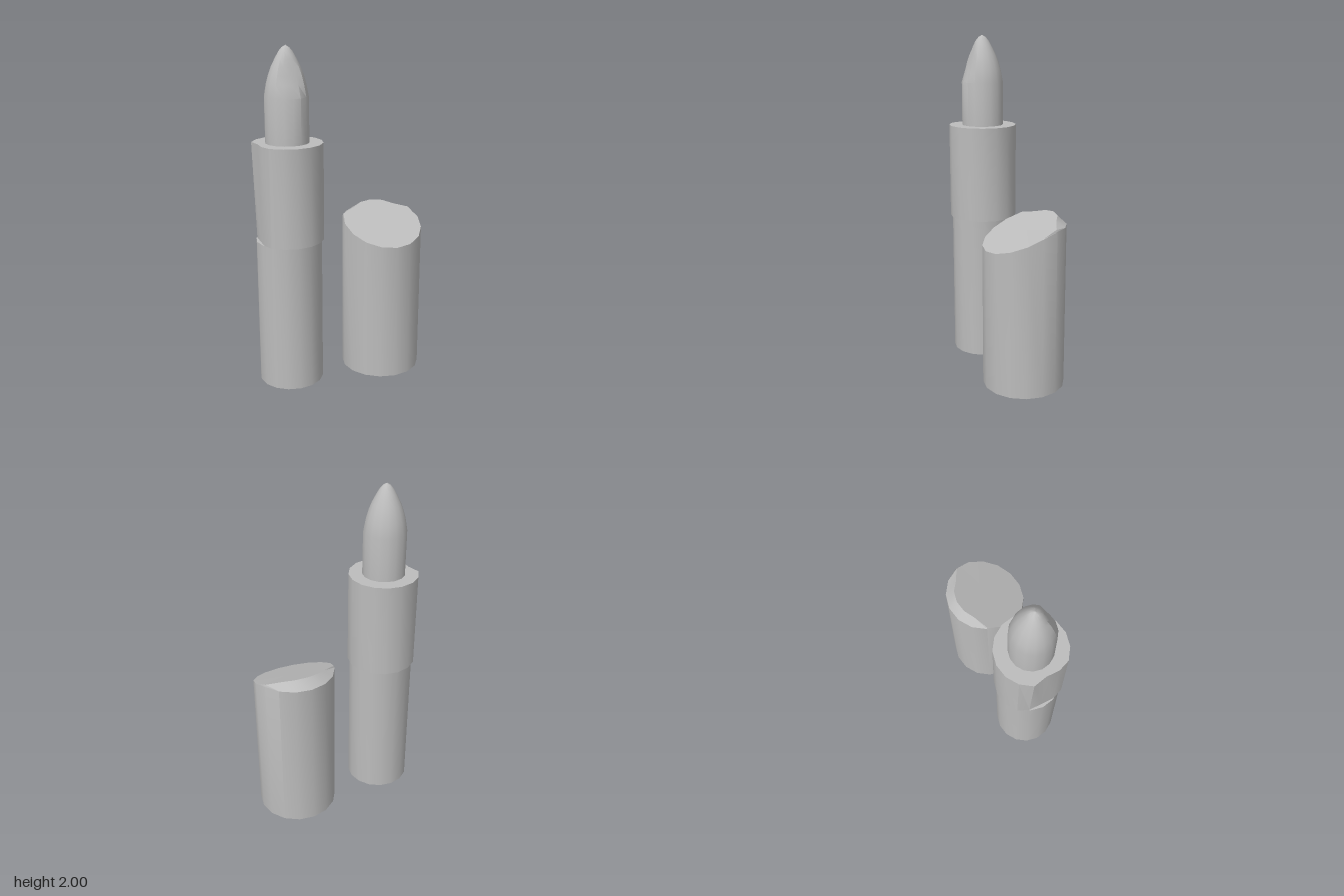
import * as THREE from 'three';
import { toCreasedNormals } from 'three/addons/utils/BufferGeometryUtils.js';

const SIDES = 16;
const STICK_X = -0.32;
const CAP_X = 0.27;

// Move every vertex of a geometry by a rule
function reshape(geometry, rule) {
  const p = geometry.attributes.position;
  const v = new THREE.Vector3();
  for (let i = 0; i < p.count; i++) {
    v.fromBufferAttribute(p, i);
    rule(v);
    p.setXYZ(i, v.x, v.y, v.z);
  }
  return geometry;
}

function lathe(profile) {
  return new THREE.LatheGeometry(profile.map(([r, y]) => new THREE.Vector2(r, y)), SIDES);
}

export function createModel() {
  const model = new THREE.Group();
  model.name = 'lipstick';
  const grey = new THREE.MeshStandardMaterial({ color: 0xbcbcbc });
  grey.name = 'grey';

  function add(name, geometry, x) {
    const mesh = new THREE.Mesh(toCreasedNormals(geometry, 0.55), grey);
    mesh.name = name;
    mesh.position.x = x;
    model.add(mesh);
  }

  // Base tube
  add('base', lathe([[0, 0], [0.193, 0], [0.193, 0.887], [0, 0.887]]), STICK_X);

  // Sleeve, dented flat on its outer side, less so at the top back
  const sleeve = lathe([[0, 0.887], [0.206, 0.887], [0.206, 1.46], [0, 1.46]]);
  add('sleeve', reshape(sleeve, (v) => {
    const limit = v.y > 1.2 && v.z < -0.05 ? -0.192 : -0.172;
    v.x = Math.max(v.x, limit);
  }), STICK_X);

  // Bullet with a slanted facet on the front of the tip
  const bullet = lathe([
    [0, 1.45], [0.126, 1.45], [0.126, 1.72], [0.113, 1.79], [0.099, 1.84],
    [0.082, 1.885], [0.062, 1.925], [0.04, 1.965], [0.022, 1.987], [0, 2],
  ]);
  add('bullet', reshape(bullet, (v) => {
    if (v.y > 1.78) v.z = Math.min(v.z, 0.04 + 0.3 * (1.97 - v.y));
  }), STICK_X);

  // Cap: hollow below, slanted flat top with a raised ridge near the back
  const slant = (z) => 0.835 + 0.43 * (0.24 - z);
  const cap = lathe([
    [0, 0.6], [0.125, 0.6], [0.125, 0], [0.24, 0], [0.24, 0.9], [0.234, 0.9], [0, 0.9],
  ]);
  add('cap', reshape(cap, (v) => {
    if (v.y < 0.7) return;
    const onRim = Math.hypot(v.x, v.z) > 0.237;
    if (!onRim && v.z < -0.1) {
      v.x *= 0.8;
      v.z *= 0.8;
    }
    v.y = onRim ? Math.min(slant(v.z), 0.965) : slant(v.z);
  }), CAP_X);

  return model;
}
